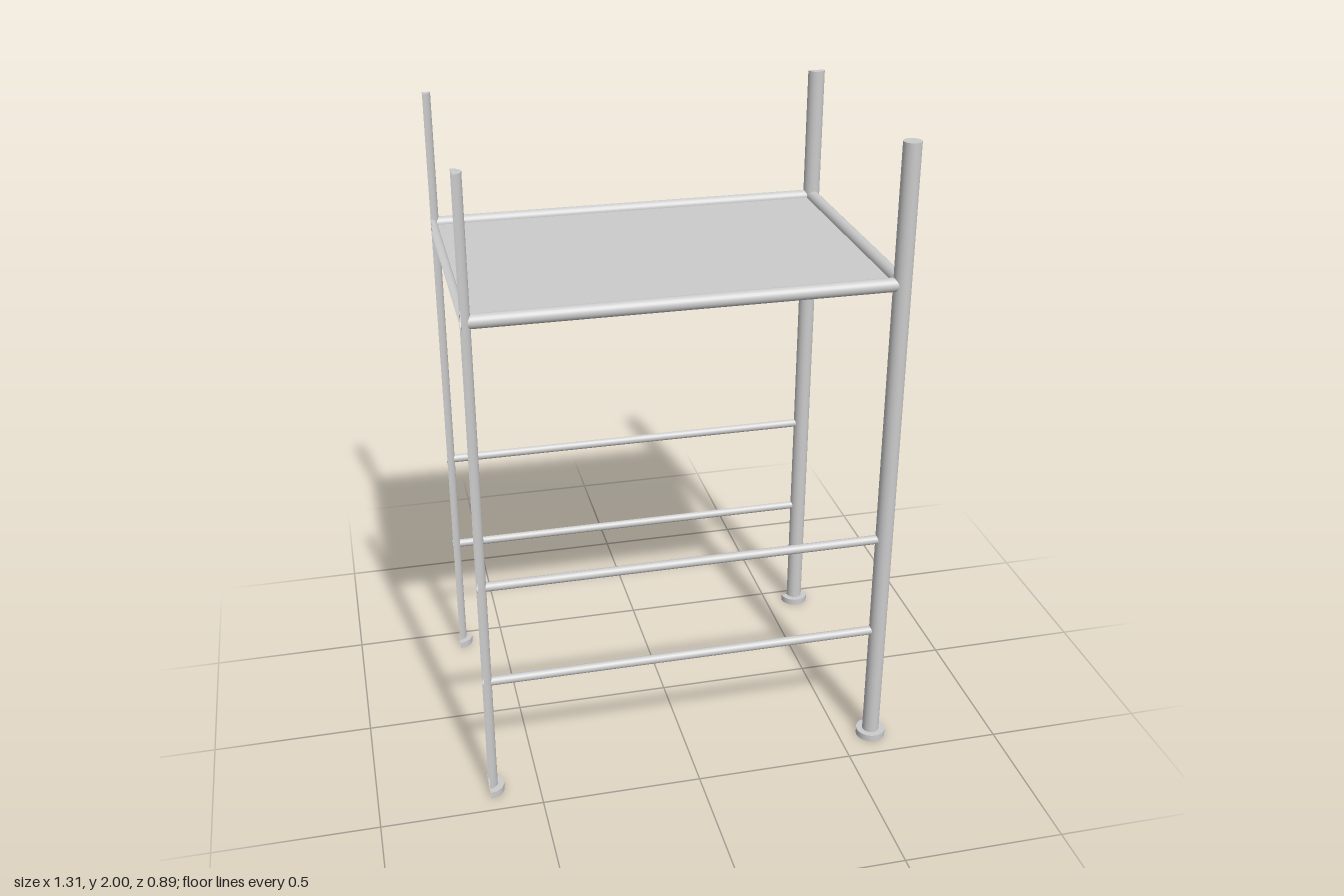
import * as THREE from 'three';

// Frame corners: the left (-x) and back (-z) members are open half tubes.
const X0 = -0.655, X1 = 0.607, Z0 = -0.445, Z1 = 0.398;
const FULL = [0, Math.PI * 2], KEEP_X = [0, Math.PI], KEEP_Z = [-Math.PI / 2, Math.PI], QUARTER = [0, Math.PI / 2];

export function createModel() {
  const model = new THREE.Group();
  const material = new THREE.MeshStandardMaterial({ color: 0xcccccc, side: THREE.DoubleSide });

  function tube(name, radius, length, arc, open, parent = model) {
    const segments = Math.max(6, Math.round(24 * arc[1] / (Math.PI * 2)));
    const mesh = new THREE.Mesh(
      new THREE.CylinderGeometry(radius, radius, length, segments, 1, open, ...arc), material);
    mesh.name = name;
    parent.add(mesh);
    return mesh;
  }

  // Posts with round foot plates
  const corners = [
    ['frontRightPost', X1, Z1, FULL],
    ['frontLeftPost', X0, Z1, KEEP_X],
    ['backRightPost', X1, Z0, KEEP_Z],
    ['backLeftPost', X0, Z0, QUARTER],
  ];
  for (const [name, x, z, arc] of corners) {
    const group = new THREE.Group();
    group.name = name;
    group.position.set(x, 0, z);
    tube('post', 0.027, 2, arc, false, group).position.y = 1;
    tube('foot', 0.047, 0.022, arc, false, group).position.y = 0.011;
    model.add(group);
  }

  // Long rails: one at deck height and two lower ones, front and back
  const midX = (X0 + X1) / 2, midZ = (Z0 + Z1) / 2;
  for (const [side, z, arc] of [['front', Z1, FULL], ['back', Z0, KEEP_Z]]) {
    for (const [part, y, r] of [['DeckRail', 1.582, 0.021], ['UpperRail', 0.742, 0.014], ['LowerRail', 0.408, 0.014]]) {
      const rail = tube(side + part, r, X1 - X0, arc, true);
      rail.rotation.z = Math.PI / 2;
      rail.position.set(midX, y, z);
    }
  }

  // Short rails at deck height
  for (const [side, x, arc] of [['right', X1, FULL], ['left', X0, KEEP_X]]) {
    const rail = tube(side + 'DeckRail', 0.021, Z1 - Z0, arc, true);
    rail.rotation.x = Math.PI / 2;
    rail.position.set(x, 1.582, midZ);
  }

  // Thin deck panel between the rails
  const deck = new THREE.Mesh(new THREE.PlaneGeometry(X1 - X0, Z1 - Z0), material);
  deck.name = 'deck';
  deck.rotation.x = -Math.PI / 2;
  deck.position.set(midX, 1.582, midZ);
  model.add(deck);

  return model;
}
